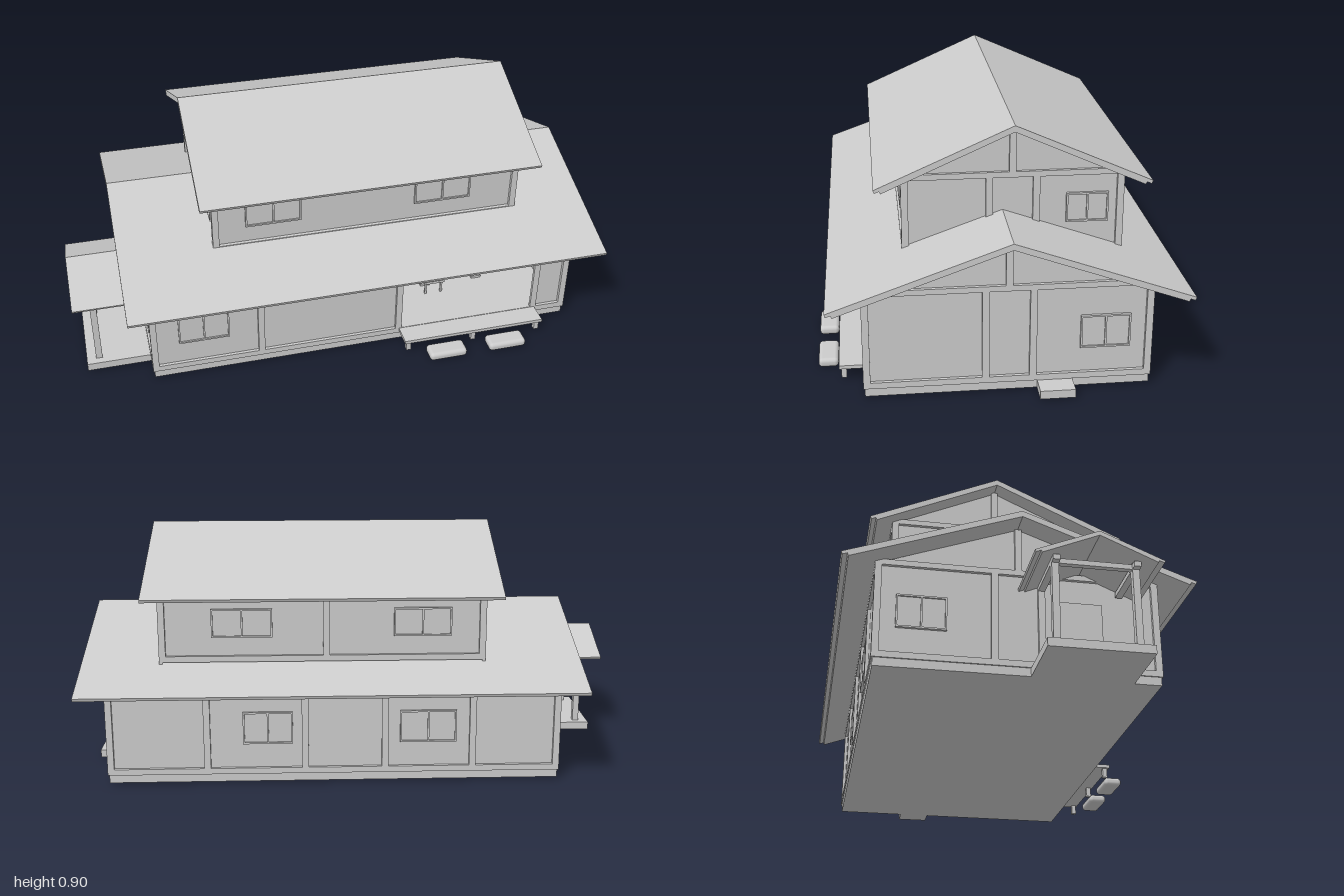
import * as THREE from 'three';
import { RoundedBoxGeometry } from 'three/addons/geometries/RoundedBoxGeometry.js';

const material = new THREE.MeshStandardMaterial({ color: 0xcccccc, side: THREE.DoubleSide });

function add(parent, name, geometry) {
  const mesh = new THREE.Mesh(geometry, material);
  mesh.name = name;
  parent.add(mesh);
  return mesh;
}

// Box given by its limits
function box(parent, name, x0, x1, y0, y1, z0, z1) {
  const g = new THREE.BoxGeometry(Math.abs(x1 - x0), y1 - y0, Math.abs(z1 - z0));
  g.translate((x0 + x1) / 2, (y0 + y1) / 2, (z0 + z1) / 2);
  return add(parent, name, g);
}

// Outline of [z, y] points extruded along x
function prism(parent, name, points, x0, x1) {
  const shape = new THREE.Shape(points.map(([z, y]) => new THREE.Vector2(-z, y)));
  const g = new THREE.ExtrudeGeometry(shape, { depth: x1 - x0, bevelEnabled: false });
  g.rotateY(Math.PI / 2).translate(x0, 0, 0);
  return add(parent, name, g);
}

// Two-layer gable roof with its ridge along x
function gableRoof(parent, name, { ridge, top, half, drop, x0, x1, t }) {
  const slope = drop / half;
  [[0, 0], [0.02, t]].forEach(([inset, down], i) => {
    const h = half - inset, y = top - down, e = y - slope * h;
    const inner = h - t * slope;
    prism(parent, name + (i ? 'Underlayer' : 'Covering'), [
      [ridge + h, e], [ridge, y], [ridge - h, e],
      [ridge - inner, e - t], [ridge, y - t], [ridge + inner, e - t],
    ], x0, x1);
  });
}

// Box on a wall: side is 'x+', 'x-', 'z+' or 'z-', u runs along the wall
function onWall(parent, name, side, plane, u0, u1, y0, y1, t) {
  const out = plane + (side[1] === '+' ? t : -t);
  if (side[0] === 'x') return box(parent, name, plane, out, y0, y1, u0, u1);
  return box(parent, name, u0, u1, y0, y1, plane, out);
}

// Two-pane window with a thin raised frame
function windowOn(parent, side, plane, u0, u1, y0, y1) {
  const g = new THREE.Group();
  g.name = 'window';
  const f = 0.006, t = 0.01, m = (u0 + u1) / 2;
  onWall(g, 'windowPane', side, plane, u0, u1, y0, y1, 0.004);
  for (const u of [u0, m - f / 2, u1 - f]) onWall(g, 'windowStile', side, plane, u, u + f, y0, y1, t);
  for (const y of [y0, y1 - f]) onWall(g, 'windowRail', side, plane, u0, u1, y, y + f, t);
  parent.add(g);
}

// Posts with a sill and a top beam along a wall
function timber(parent, side, plane, u0, u1, posts, sill, y0, y1) {
  const w = 0.024, t = 0.012;
  for (const u of posts) onWall(parent, 'wallPost', side, plane, u - w / 2, u + w / 2, y0, y1, t);
  if (sill) onWall(parent, 'sillBeam', side, plane, u0, u1, y0, y0 + 0.022, t);
  onWall(parent, 'topBeam', side, plane, u0, u1, y1 - 0.02, y1, t);
}

function lowerFloor() {
  const g = new THREE.Group();
  g.name = 'lowerFloor';
  const L = -0.723, R = 0.9, B = -0.493, F = 0.458;
  box(g, 'plinth', -0.73, 0.907, 0.007, 0.04, -0.5, 0.465);
  box(g, 'floorSlab', L, R, 0.04, 0.06, B, F);

  // Closed rooms around the open front room
  box(g, 'closedRooms', L, 0.218, 0.05, 0.36, B, F);
  box(g, 'backRooms', 0.218, R, 0.05, 0.36, B, -0.13);
  box(g, 'sideWall', R - 0.02, R, 0.05, 0.36, -0.13, F);
  box(g, 'frontWallEnd', 0.782, R, 0.05, 0.36, F - 0.02, F);
  box(g, 'lintel', 0.218, 0.782, 0.3, 0.36, F - 0.02, F);
  for (const z of [0.055, 0.25]) box(g, 'innerPost', 0.216, 0.23, 0.06, 0.34, z, z + 0.022);

  // Attic with triangular ends
  prism(g, 'attic', [[B, 0.335], [F, 0.335], [F, 0.386], [-0.018, 0.56], [B, 0.386]], L, R);

  // Timber frame
  timber(g, 'z+', F, L, 0.23, [-0.723, -0.32, 0.22], true, 0.037, 0.378);
  timber(g, 'z+', F, 0.23, R, [0.78, 0.9], false, 0.037, 0.378);
  onWall(g, 'sillBeam', 'z+', F, 0.218, R, 0.037, 0.06, 0.012);
  onWall(g, 'headBeam', 'z+', F, 0.23, 0.77, 0.3, 0.32, 0.012);
  timber(g, 'z-', B, L, R, [-0.723, -0.415, -0.095, 0.195, 0.55, 0.9], true, 0.037, 0.378);
  for (const [side, plane] of [['x+', R], ['x-', L]]) {
    timber(g, side, plane, B, F, [-0.493, -0.1, 0.06, 0.458], true, 0.037, 0.395);
    onWall(g, 'gablePost', side, plane, -0.03, -0.006, 0.395, 0.555, 0.012);
    windowOn(g, side, plane, -0.43, -0.26, 0.15, 0.27);
  }
  windowOn(g, 'z+', F, -0.63, -0.44, 0.15, 0.27);
  windowOn(g, 'z-', B, -0.355, -0.15, 0.15, 0.27);
  windowOn(g, 'z-', B, 0.24, 0.42, 0.15, 0.27);
  onWall(g, 'entryDoor', 'x-', L, 0.12, 0.27, 0.06, 0.29, 0.006);

  gableRoof(g, 'lowerRoof', { ridge: -0.018, top: 0.582, half: 0.603, drop: 0.216, x0: -0.815, x1: 1, t: 0.011 });
  return g;
}

function upperFloor() {
  const g = new THREE.Group();
  g.name = 'upperFloor';
  const L = -0.453, R = 0.708, B = -0.42, F = 0.313;
  prism(g, 'upperWalls', [[B, 0.38], [F, 0.38], [F, 0.71], [-0.05, 0.875], [B, 0.71]], L, R);
  for (const [side, plane, u] of [['x+', R, -0.38], ['x-', L, 0.11]]) {
    timber(g, side, plane, B, F, [-0.42, -0.132, 0.028, 0.313], false, 0.4, 0.72);
    onWall(g, 'gablePost', side, plane, -0.063, -0.039, 0.72, 0.872, 0.012);
    windowOn(g, side, plane, u, u + 0.145, 0.53, 0.635);
  }
  for (const [side, plane] of [['z+', F], ['z-', B]]) {
    timber(g, side, plane, L, R, side === 'z-' ? [L, 0.115, R] : [L, R], true, 0.44, 0.705);
    windowOn(g, side, plane, -0.34, -0.13, 0.53, 0.635);
    windowOn(g, side, plane, 0.31, 0.53, 0.53, 0.635);
  }
  gableRoof(g, 'upperRoof', { ridge: -0.05, top: 0.897, half: 0.467, drop: 0.207, x0: -0.517, x1: 0.77, t: 0.011 });
  return g;
}

function porch() {
  const g = new THREE.Group();
  g.name = 'entryPorch';
  box(g, 'porchPlatform', -0.972, -0.72, 0.007, 0.037, 0.02, 0.37);
  for (const z of [0.06, 0.33]) {
    box(g, 'porchPost', -0.937, -0.913, 0.037, 0.345, z - 0.012, z + 0.012);
    box(g, 'porchSideBeam', -0.96, -0.73, 0.322, 0.34, z - 0.012, z + 0.012);
  }
  box(g, 'porchCrossBeam', -0.935, -0.915, 0.322, 0.34, 0.06, 0.33);
  gableRoof(g, 'porchRoof', { ridge: 0.195, top: 0.417, half: 0.215, drop: 0.09, x0: -1, x1: -0.725, t: 0.008 });
  return g;
}

function veranda() {
  const g = new THREE.Group();
  g.name = 'veranda';
  box(g, 'verandaDeck', 0.222, 0.785, 0.045, 0.058, 0.46, 0.552);
  for (const x of [0.24, 0.503, 0.767]) box(g, 'verandaLeg', x - 0.009, x + 0.009, 0.007, 0.045, 0.526, 0.544);
  // Rounded stepping stones before the deck
  for (const x of [0.378, 0.618]) {
    const stone = add(g, 'steppingStone', new RoundedBoxGeometry(0.148, 0.033, 0.07, 3, 0.014));
    stone.position.set(x, 0.0165, 0.59);
  }
  return g;
}

function furniture() {
  const g = new THREE.Group();
  g.name = 'lowTable';
  box(g, 'tableTop', 0.38, 0.465, 0.112, 0.122, 0.13, 0.3);
  for (const x of [0.386, 0.451]) for (const z of [0.138, 0.284]) {
    box(g, 'tableLeg', x, x + 0.008, 0.06, 0.112, z, z + 0.008);
  }
  for (const x of [0.405, 0.625]) box(g, 'floorCushion', x - 0.02, x + 0.02, 0.06, 0.07, 0.19, 0.24);
  return g;
}

export function createModel() {
  const house = new THREE.Group();
  house.name = 'house';
  house.add(lowerFloor(), upperFloor(), porch(), veranda(), furniture());
  box(house, 'sideStep', 0.9, 0.985, 0.007, 0.037, -0.235, -0.115);
  return house;
}
